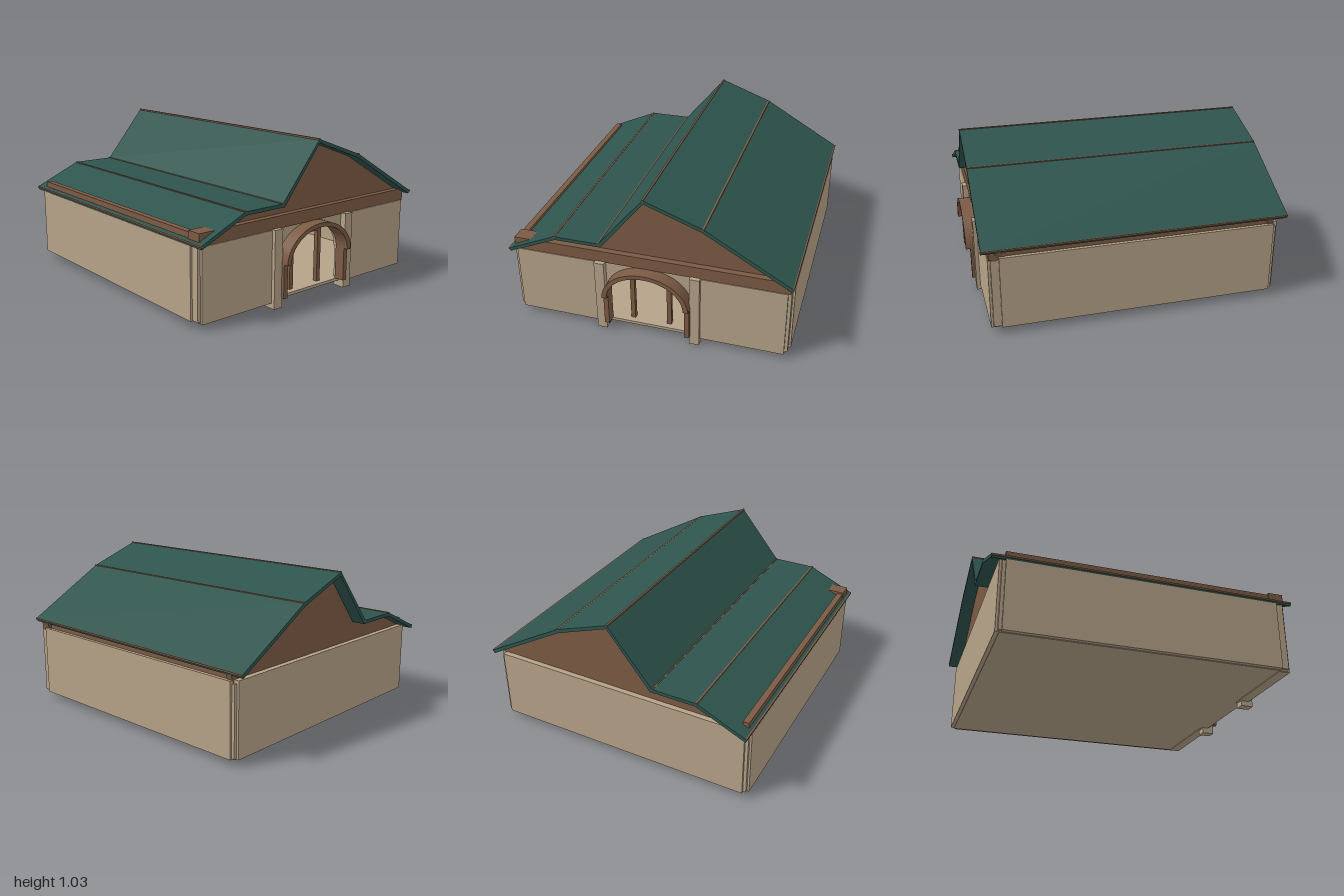
import * as THREE from 'three';

const mat = (name, color) => {
  const m = new THREE.MeshStandardMaterial({ color });
  m.name = name;
  return m;
};

export function createModel() {
  const house = new THREE.Group();
  house.name = 'house';
  const tan = mat('plaster', 0xb5a288);
  const brown = mat('timber', 0x7b5a44);
  const green = mat('roofing', 0x2e544d);
  const dark = mat('charcoal', 0x2f302c);

  const add = (name, geo, m) => {
    const mesh = new THREE.Mesh(geo, m);
    mesh.name = name;
    house.add(mesh);
    return mesh;
  };
  // Box given by its two extreme corners
  const box = (name, m, x0, x1, y0, y1, z0, z1) => {
    const g = new THREE.BoxGeometry(x1 - x0, y1 - y0, z1 - z0);
    g.translate((x0 + x1) / 2, (y0 + y1) / 2, (z0 + z1) / 2);
    return add(name, g, m);
  };
  // Outline extruded between two z positions
  const slab = (name, m, shape, z0, z1) => {
    const g = new THREE.ExtrudeGeometry(shape, { depth: z1 - z0, bevelEnabled: false, curveSegments: 20 });
    g.translate(0, 0, z0);
    return add(name, g, m);
  };
  const outline = pts => new THREE.Shape(pts.map(p => new THREE.Vector2(p[0], p[1])));

  // Asymmetric roof
  const top = [[-0.92, 0.52], [-0.595, 0.665], [-0.3, 0.665], [0, 1.025], [0.37, 0.89], [0.92, 0.572]];
  const under = [[-0.915, 0.498], [-0.59, 0.642], [-0.285, 0.642], [0.003, 1.0], [0.36, 0.868], [0.91, 0.55]];
  slab('roof', green, outline([...top, ...[...under].reverse()]), -1, 0.965);
  for (const [x, y] of top) {
    const w = Math.abs(x) > 0.9 ? Math.sign(x) * 0.003 : 0;
    box('roofBatten', brown, x - w - 0.006, x - w + 0.006, y - 0.008, y + 0.003, -1, 0.968);
  }

  // Gables close the roof at both ends
  const gable = outline([[-0.9, 0.498], [0.895, 0.498], ...[...under].reverse()]);
  slab('frontGable', brown, gable, 0.84, 0.88);
  slab('backGable', brown, gable, -0.91, -0.87);

  // Eaves beams
  box('frontBeam', brown, -0.9, 0.9, 0.5, 0.58, 0.82, 0.92);
  box('rightEavesBeam', brown, -0.895, -0.855, 0.5, 0.568, -0.91, 0.82);
  box('leftEavesBeam', brown, 0.855, 0.895, 0.5, 0.562, -0.91, 0.82);

  // Floor and walls
  box('floor', tan, -0.89, 0.89, 0.04, 0.06, -0.92, 0.91);
  box('backWall', tan, -0.885, 0.885, 0.045, 0.52, -0.945, -0.905);
  for (const s of [-1, 1]) {
    const mirrored = (name, m, a, b, y0, y1, z0, z1) =>
      box(name, m, Math.min(s * a, s * b), Math.max(s * a, s * b), y0, y1, z0, z1);
    mirrored('sideWall', tan, 0.88, 0.918, 0.045, s > 0 ? 0.518 : 0.5, -0.91, 0.86);
    mirrored('backCorner', tan, 0.86, 0.905, 0.05, 0.5, -0.93, -0.88);
    mirrored('frontCorner', tan, 0.86, 0.905, 0.05, 0.5, 0.84, 0.91);
    mirrored('frontWall', tan, 0.3, 0.885, 0.035, 0.5, 0.85, 0.925);
    mirrored('pilaster', tan, 0.28, 0.345, 0, 0.505, 0.865, 0.95);
    mirrored('archPost', brown, 0.253, 0.285, 0.06, 0.28, 0.9, 0.97);
    mirrored('doorPost', brown, 0.108, 0.138, 0.06, 0.41, 0.84, 0.87);
    mirrored('tableLeg', brown, 0.08, 0.09, 0.06, 0.135, -0.25, -0.15);
  }
  box('doorLintel', brown, -0.138, 0.138, 0.408, 0.445, 0.84, 0.87);

  // Wall over the entrance
  const over = new THREE.Shape();
  over.moveTo(0.285, 0.28);
  over.lineTo(0.285, 0.5);
  over.lineTo(-0.285, 0.5);
  over.lineTo(-0.285, 0.28);
  over.lineTo(-0.265, 0.28);
  over.absellipse(0, 0.28, 0.265, 0.205, Math.PI, 0, true);
  slab('wallOverArch', tan, over, 0.87, 0.91);

  // Entrance arch
  const arch = new THREE.Shape();
  arch.moveTo(0.285, 0.28);
  arch.absellipse(0, 0.28, 0.285, 0.222, 0, Math.PI, false);
  arch.lineTo(-0.253, 0.28);
  arch.absellipse(0, 0.28, 0.253, 0.195, Math.PI, 0, true);
  slab('entranceArch', brown, arch, 0.9, 1.0);

  // Table with a small heap on it
  box('tableTop', brown, -0.1, 0.1, 0.135, 0.15, -0.28, -0.12);
  for (let i = 0; i < 5; i++) {
    const h = 0.165 - 0.004 * Math.abs(i - 2);
    box('heap', dark, -0.08 + i * 0.032, -0.048 + i * 0.032, 0.15, h, -0.23, -0.17);
  }
  return house;
}
